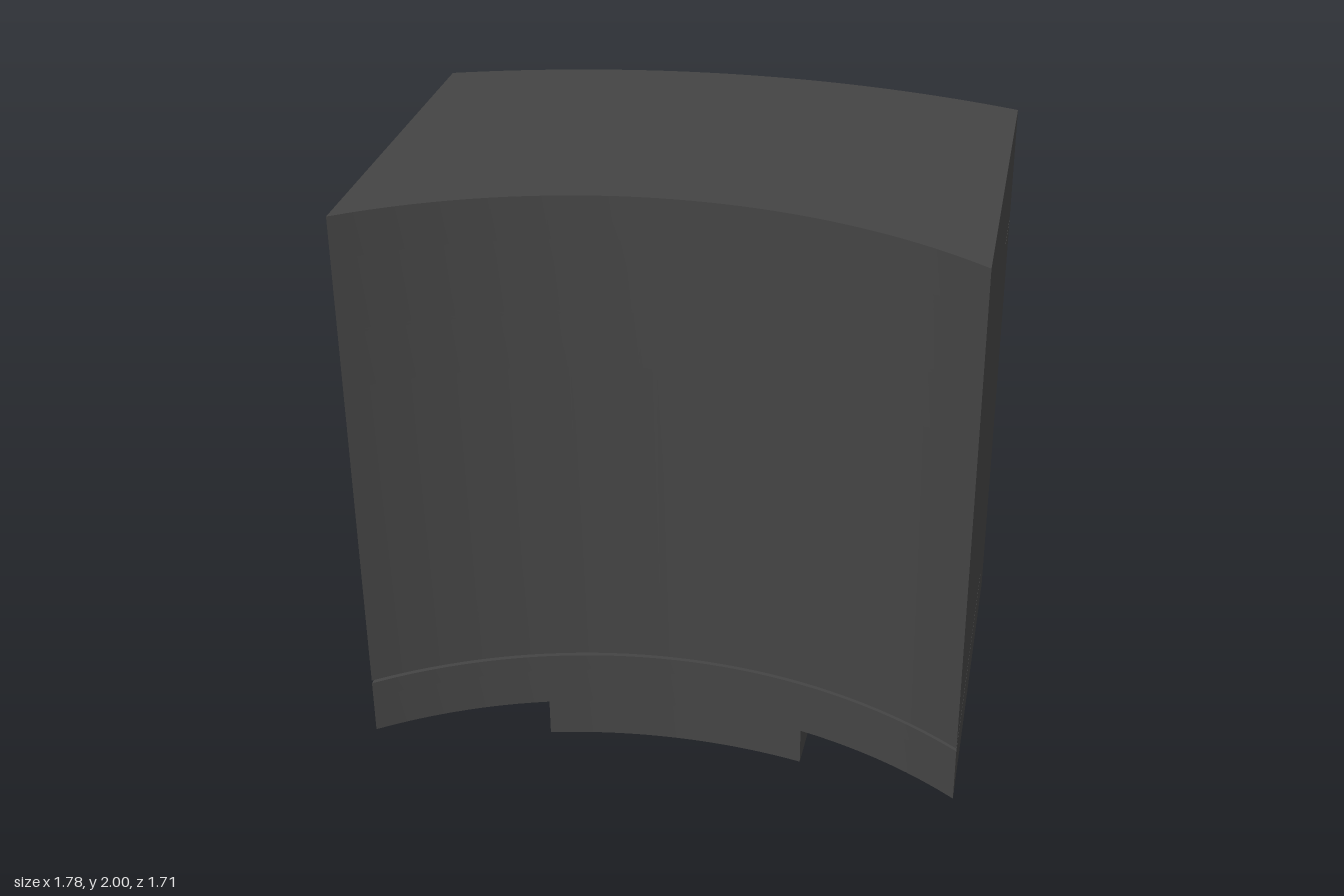
import * as THREE from 'three';
import { toCreasedNormals } from 'three/addons/utils/BufferGeometryUtils.js';

const HALF = 0.89;             // half width of the body
const GROOVE = 0.04;           // groove depth
const CAV = { x: 0.62, front: 0.42, back: -0.3 };
const PORT = { y: 1.67, r: 0.18, half: 0.2 };
const BORE = { z: 0.1, r: 0.34 };

// curved front and back faces
const frontZ = x => 0.56 + 1.51 - Math.sqrt(1.51 ** 2 - x * x);
const backZ = x => -0.465 + 2.63 - Math.sqrt(2.63 ** 2 - x * x);

function arc(fn, from, to, n, offset = 0) {
  return Array.from({ length: n + 1 }, (_, i) => {
    const x = from + (to - from) * i / n;
    return [x, fn(x) + offset];
  });
}

const toShape = pts => new THREE.Shape(pts.map(([x, z]) => new THREE.Vector2(x, -z)));
const circle = (x, y, r) => new THREE.Path().absarc(x, y, r, 0, Math.PI * 2, true);
const cavityPts = [[CAV.x, CAV.back], [CAV.x, CAV.front], [-CAV.x, CAV.front], [-CAV.x, CAV.back]];

// plan outline, optionally stepped in for a groove or opened for the port
function plan({ half = HALF, frontIn = 0, backIn = 0, notch = false }) {
  const hb = half - backIn, hf = half - frontIn;
  const back = notch
    ? [...arc(backZ, hb, PORT.half, 14, backIn), [PORT.half, CAV.back], ...cavityPts,
      [-PORT.half, CAV.back], ...arc(backZ, -PORT.half, -hb, 14, backIn)]
    : arc(backZ, hb, -hb, 36, backIn);
  const step = frontIn !== backIn;
  return toShape([
    ...back,
    ...(step ? [[-hb, -0.1], [-hf, -0.1]] : []),
    ...arc(frontZ, -hf, hf, 36, -frontIn),
    ...(step ? [[hf, -0.1], [hb, -0.1]] : []),
  ]);
}

// extrude a plan outline from y0 to y1
function slab(shape, y0, y1) {
  const g = new THREE.ExtrudeGeometry(shape, { depth: y1 - y0, bevelEnabled: false, curveSegments: 32 });
  return g.rotateX(-Math.PI / 2).translate(0, y0, 0);
}

export function createModel() {
  const model = new THREE.Group();
  const material = new THREE.MeshStandardMaterial({ color: 0x444444 });
  const add = (name, geometry, parent = model) => {
    const mesh = new THREE.Mesh(toCreasedNormals(geometry, 0.5), material);
    mesh.name = name;
    parent.add(mesh);
    return mesh;
  };

  // hollow body, stacked in layers with two thin grooves
  const body = new THREE.Group();
  body.name = 'body';
  model.add(body);
  const layers = [
    ['bottomPlate', 0.28, 0.40, {}, 'bore'],
    ['lowerWall', 0.40, 0.455, {}, 'cavity'],
    ['frontGroove', 0.455, 0.465, { frontIn: GROOVE }, 'cavity'],
    ['middleWall', 0.465, 1.47, {}, 'cavity'],
    ['upperWall', 1.47, 1.64, { notch: true }],
    ['backGroove', 1.64, 1.65, { notch: true, backIn: GROOVE }],
    ['topWall', 1.65, 1.87, { notch: true }],
    ['topPlate', 1.87, 2, {}],
  ];
  for (const [name, y0, y1, options, opening] of layers) {
    const shape = plan(options);
    if (opening === 'bore') shape.holes.push(circle(0, -BORE.z, BORE.r));
    if (opening === 'cavity') shape.holes.push(toShape(cavityPts));
    add(name, slab(shape, y0, y1), body);
  }

  // back panel with the round port, bent to the back curve
  const h = PORT.half;
  const panel = new THREE.Shape([[-h, 1.47], [h, 1.47], [h, 1.87], [-h, 1.87]]
    .map(p => new THREE.Vector2(...p)));
  panel.holes.push(circle(0, PORT.y, PORT.r));
  const panelGeo = new THREE.ExtrudeGeometry(panel, { depth: 0.2, bevelEnabled: false, curveSegments: 24 });
  const pp = panelGeo.attributes.position;
  for (let i = 0; i < pp.count; i++) {
    pp.setZ(i, pp.getZ(i) > 0.1 ? CAV.back : backZ(pp.getX(i)));
  }
  add('portPanel', panelGeo, body);

  // sloping boss under the body with a round bore
  const bossShape = plan({ half: 0.4 });
  bossShape.holes.push(circle(0, -BORE.z, BORE.r));
  const bossGeo = slab(bossShape, 0, 0.28);
  const bp = bossGeo.attributes.position;
  for (let i = 0; i < bp.count; i++) {
    if (bp.getY(i) < 0.1) bp.setY(i, 0.089 + 0.1154 * bp.getZ(i));
  }
  add('bottomBoss', bossGeo);

  // pair of bent clips on the back
  const clip = new THREE.Shape();
  clip.moveTo(-0.02, 1.645);
  clip.lineTo(0.22, 1.59);
  clip.bezierCurveTo(0.35, 1.56, 0.435, 1.45, 0.405, 1.32);
  clip.lineTo(0.145, 0.14);
  clip.lineTo(0.18, 0);
  clip.lineTo(0.06, 0.035);
  clip.lineTo(0.03, 0.17);
  clip.lineTo(0.295, 1.33);
  clip.bezierCurveTo(0.31, 1.4, 0.27, 1.46, 0.2, 1.475);
  clip.lineTo(-0.02, 1.525);
  const width = 0.295;
  for (const side of [1, -1]) {
    const g = new THREE.ExtrudeGeometry(clip, { depth: width, bevelEnabled: false, curveSegments: 14 });
    g.translate(0, 0, -width / 2);
    const mesh = add(side > 0 ? 'leftClip' : 'rightClip', g);
    mesh.rotation.y = Math.PI / 2 - side * THREE.MathUtils.degToRad(10);
    mesh.position.set(side * 0.445, 0, -0.425);
  }
  return model;
}
